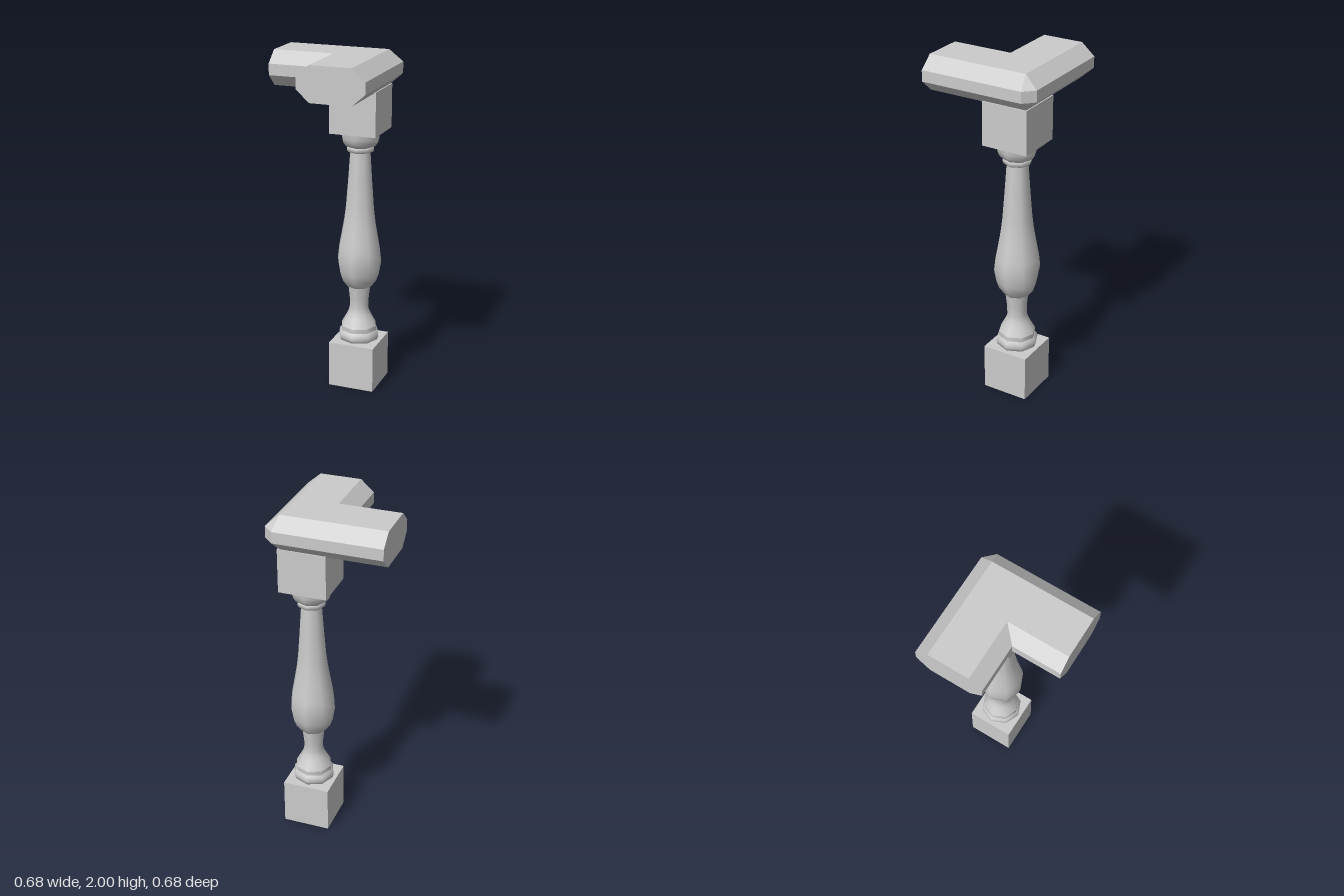
import * as THREE from 'three';
import { toCreasedNormals } from 'three/addons/utils/BufferGeometryUtils.js';

const C = 0.138; // post axis at x = C, z = -C
const material = new THREE.MeshStandardMaterial({ color: 0xcccccc });

function addPart(group, name, geometry, x = 0, y = 0, z = 0) {
  const mesh = new THREE.Mesh(geometry, material);
  mesh.name = name;
  mesh.position.set(x, y, z);
  group.add(mesh);
}

// L-shaped handrail: an octagonal section swept round a mitred corner
function railGeometry() {
  const end = 0.338, axis = 0.14, cut = 0.279;
  // [outward offset, height], counter-clockwise
  const profile = [
    [-0.12, 1.797], [0.12, 1.797], [0.198, 1.867], [0.198, 1.932],
    [0.12, 2], [-0.12, 2], [-0.196, 1.932], [-0.196, 1.867],
  ];
  // The outermost edges are clipped at the corner, the others meet in a mitre
  const clip = (d) => Math.min(axis + d, cut);
  const sections = [
    profile.map(([d, y]) => new THREE.Vector3(-end, y, -axis - d)),
    profile.map(([d, y]) => new THREE.Vector3(clip(d), y, -axis - d)),
    profile.map(([d, y]) => new THREE.Vector3(axis + d, y, -clip(d))),
    profile.map(([d, y]) => new THREE.Vector3(axis + d, y, end)),
  ];
  const positions = [];
  const triangle = (a, b, c) => {
    if (new THREE.Triangle(a, b, c).getArea() < 1e-8) return;
    for (const p of [a, b, c]) positions.push(p.x, p.y, p.z);
  };
  const n = profile.length;
  for (let s = 0; s < 3; s++) {
    for (let j = 0; j < n; j++) {
      const k = (j + 1) % n, p = sections[s], q = sections[s + 1];
      triangle(p[j], p[k], q[k]);
      triangle(p[j], q[k], q[j]);
    }
  }
  // End caps
  const [first, last] = [sections[0], sections[3]];
  for (let j = 1; j < n - 1; j++) {
    triangle(first[0], first[j + 1], first[j]);
    triangle(last[0], last[j], last[j + 1]);
  }
  const geometry = new THREE.BufferGeometry();
  geometry.setAttribute('position', new THREE.Float32BufferAttribute(positions, 3));
  return toCreasedNormals(geometry, 0.4);
}

export function createModel() {
  const group = new THREE.Group();
  group.name = 'balusterWithCornerRail';

  // Square blocks at foot and head
  addPart(group, 'baseBlock', new THREE.BoxGeometry(0.276, 0.275, 0.276), C, 0.1375, -C);
  addPart(group, 'topBlock', new THREE.BoxGeometry(0.276, 0.255, 0.276), C, 1.6775, -C);

  // Turned parts, [radius, height] from bottom to top
  const turnings = {
    baseRing: [[0.1, 0.275], [0.116, 0.28], [0.124, 0.3], [0.121, 0.322], [0.108, 0.338]],
    baseCollar: [[0.108, 0.338], [0.108, 0.365]],
    lowerNeck: [[0.108, 0.365], [0.1, 0.38], [0.078, 0.42], [0.064, 0.45], [0.058, 0.48],
      [0.059, 0.53], [0.069, 0.615]],
    vase: [[0.068, 0.61], [0.076, 0.615], [0.105, 0.655], [0.121, 0.7], [0.135, 0.78],
      [0.127, 0.85], [0.112, 0.93], [0.096, 1.02], [0.086, 1.1], [0.074, 1.25], [0.061, 1.435]],
    neckRing: [[0.061, 1.43], [0.077, 1.432], [0.083, 1.445], [0.083, 1.458], [0.077, 1.462]],
    capitalBowl: [[0.077, 1.46], [0.092, 1.47], [0.106, 1.49], [0.113, 1.515], [0.116, 1.55]],
  };
  for (const [name, points] of Object.entries(turnings)) {
    const outline = points.map(([r, y]) => new THREE.Vector2(r, y));
    addPart(group, name, new THREE.LatheGeometry(outline, 8), C, 0, -C);
  }

  addPart(group, 'cornerHandrail', railGeometry());
  return group;
}
